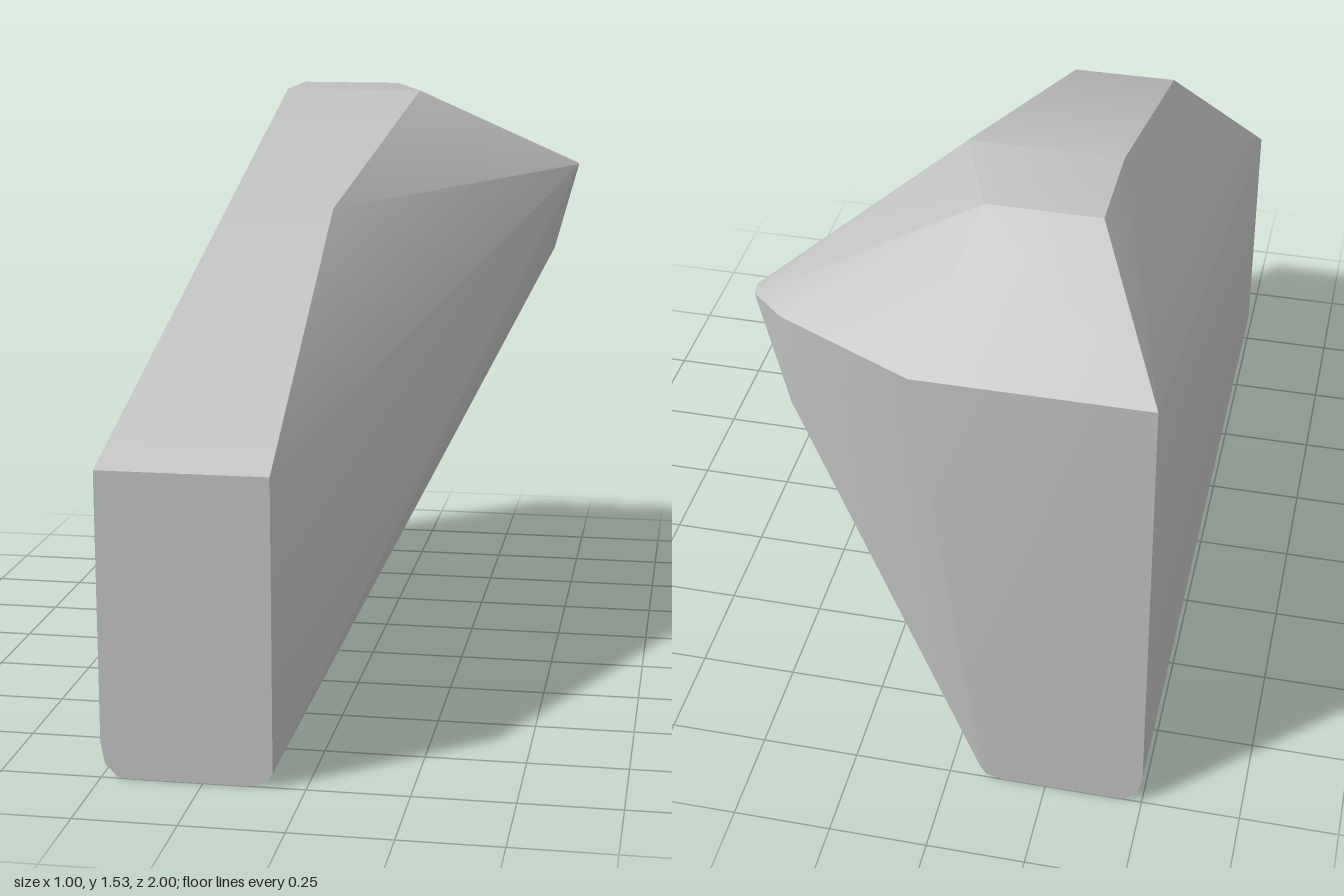
import * as THREE from 'three';
import { toCreasedNormals } from 'three/addons/utils/BufferGeometryUtils.js';
import { ConvexGeometry } from 'three/addons/geometries/ConvexGeometry.js';

export function createModel() {
  const group = new THREE.Group();
  const grey = new THREE.MeshStandardMaterial({ color: 0xc0c0c0 });
  grey.name = 'stone grey';

  const corners = [];
  const add = (x, y, z) => corners.push(new THREE.Vector3(x, y, z));

  // Base slab: same softly rounded foot at the front and the back
  const foot = [[-0.5, 0.09], [-0.49, 0.035], [-0.46, 0.004], [-0.44, 0],
    [-0.14, 0], [-0.095, 0.012], [-0.08, 0.035]];
  for (const z of [1, -1]) for (const [x, y] of foot) add(x, y, z);

  // Front face top edge
  add(-0.5, 0.76, 1);
  add(-0.08, 0.76, 1);

  // Sloping top, from the front shoulder to the crown
  add(-0.31, 1.3, 0.38);
  add(-0.04, 1.3, 0.38);
  add(-0.31, 1.535, -0.4);
  add(0.07, 1.535, -0.4);
  add(-0.31, 1.535, -0.66);
  add(-0.03, 1.535, -0.66);

  // Back face top edge
  add(-0.5, 1.27, -1);
  add(0.07, 1.27, -1);

  // Flared tip on the side
  add(0.5, 1.295, -0.75);
  add(0.495, 1.295, -0.79);
  add(0.41, 1.29, -0.86);
  add(0.43, 1.04, -0.77);
  add(0.4, 1.04, -0.86);

  const body = new THREE.Mesh(toCreasedNormals(new ConvexGeometry(corners), 0.5), grey);
  body.name = 'rockBody';
  group.add(body);
  return group;
}
